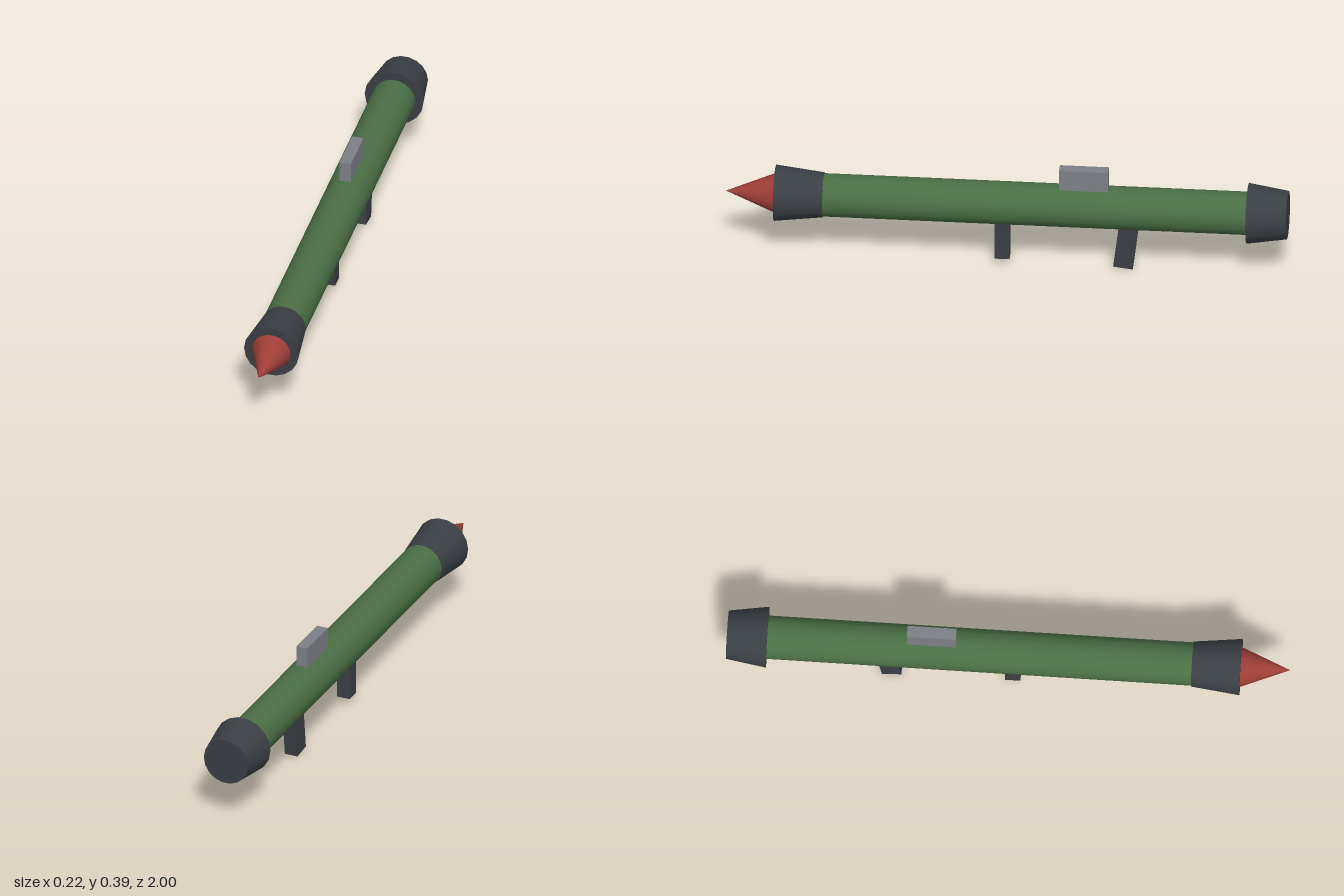
import * as THREE from 'three';

const AXIS_Y = 0.237;
const SIDES = 18;

function material(name, color) {
  const m = new THREE.MeshStandardMaterial({ color });
  m.name = name;
  return m;
}

export function createModel() {
  const green = material('olive green', 0x4a6f45);
  const dark = material('dark gunmetal', 0x3a3f44);
  const grey = material('sight grey', 0x7c8086);
  const red = material('warhead red', 0x9e3d37);
  const model = new THREE.Group();
  model.name = 'rocketLauncher';

  function add(name, geometry, mat, x, y, z) {
    const mesh = new THREE.Mesh(geometry, mat);
    mesh.name = name;
    mesh.position.set(x, y, z);
    model.add(mesh);
    return mesh;
  }

  // Round part lying along z, with a vertex on the x axis
  function round(name, mat, rFront, rBack, zFront, zBack) {
    const g = new THREE.CylinderGeometry(rFront, rBack, zFront - zBack, SIDES);
    g.rotateY(Math.PI / 2);
    g.rotateX(Math.PI / 2);
    return add(name, g, mat, 0, AXIS_Y, (zFront + zBack) / 2);
  }

  // Tube with flared ends
  round('tube', green, 0.077, 0.077, 0.7, -0.9);
  round('muzzle', dark, 0.1, 0.08, 0.825, 0.652);
  round('exhaust', dark, 0.108, 0.086, -0.857, -1);

  // Pointed warhead
  const cone = new THREE.ConeGeometry(0.0725, 0.18, SIDES);
  cone.rotateY(Math.PI / 2);
  cone.rotateX(Math.PI / 2);
  add('warhead', cone, red, 0, AXIS_Y, 0.91);

  // Sight and grips
  add('sight', new THREE.BoxGeometry(0.042, 0.089, 0.174), grey, 0, 0.3445, -0.274);
  add('frontGrip', new THREE.BoxGeometry(0.05, 0.16, 0.054), dark, 0, 0.1, 0.016);
  const rearGrip = add('rearGrip', new THREE.BoxGeometry(0.05, 0.19, 0.07), dark, 0, 0.0985, -0.426);
  rearGrip.rotation.x = -0.12;

  return model;
}
